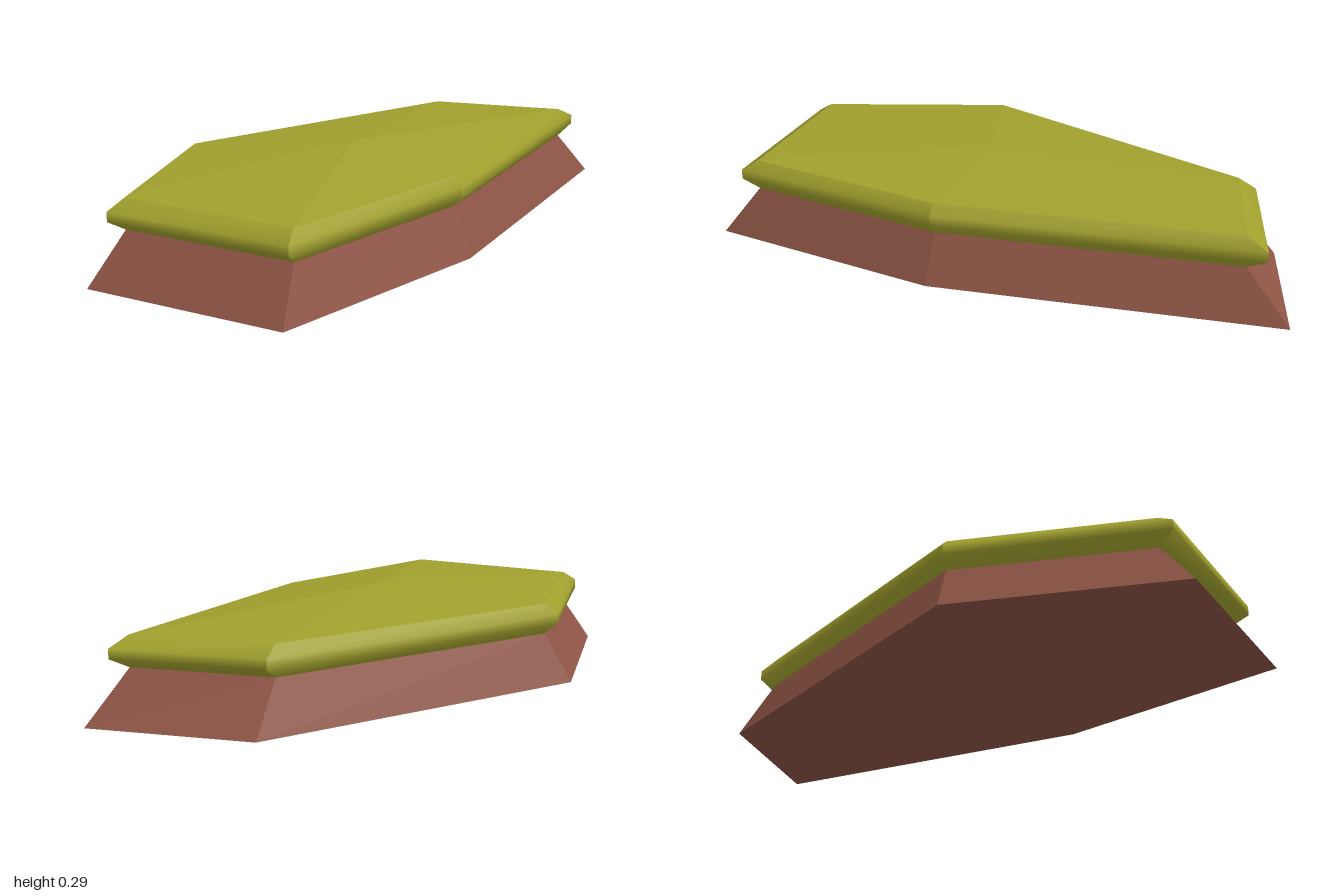
import * as THREE from 'three';

// Irregular six-sided outline (x, z), and the centre its layers shrink towards
const OUTLINE = [[-1, -0.115], [-0.42, -0.515], [0.73, -0.375], [0.995, 0.06], [-0.02, 0.445], [-0.8, 0.51]];
const CENTER = [-0.087, 0.002];

// Stacks scaled copies of the outline; profile is a list of [scale, y] from bottom to top.
// Each side has its own vertices, so corners stay sharp while the profile is smooth.
function layered(profile) {
  const positions = [], index = [];
  OUTLINE.forEach((a, i) => {
    const b = OUTLINE[(i + 1) % OUTLINE.length];
    const start = positions.length / 3;
    for (const [s, y] of profile) {
      for (const p of [a, b]) {
        positions.push(CENTER[0] + (p[0] - CENTER[0]) * s, y, CENTER[1] + (p[1] - CENTER[1]) * s);
      }
    }
    for (let k = 0; k < profile.length - 1; k++) {
      const a0 = start + 2 * k, b0 = a0 + 1, a1 = a0 + 2, b1 = a0 + 3;
      index.push(a0, a1, b0, a1, b1, b0);
    }
  });
  const geometry = new THREE.BufferGeometry();
  geometry.setAttribute('position', new THREE.Float32BufferAttribute(positions, 3));
  geometry.setIndex(index);
  geometry.computeVertexNormals();
  return geometry;
}

export function createModel() {
  const group = new THREE.Group();
  const earth = new THREE.MeshStandardMaterial({ color: 0x8f5546 });
  earth.name = 'earth brown';
  const grass = new THREE.MeshStandardMaterial({ color: 0xa0a02e });
  grass.name = 'grass green';

  const add = (name, profile, material) => {
    const mesh = new THREE.Mesh(layered(profile), material);
    mesh.name = name;
    group.add(mesh);
  };

  // Sloping earth base and its underside
  add('earthSides', [[1, 0], [0.86, 0.152]], earth);
  add('earthUnderside', [[0, 0], [1, 0]], earth);

  // Rounded grass rim and the shallow mound on top
  add('grassRim', [[0.86, 0.152], [0.922, 0.185], [0.922, 0.215], [0.86, 0.247]], grass);
  add('grassTop', [[0.86, 0.247], [0, 0.291]], grass);

  return group;
}
